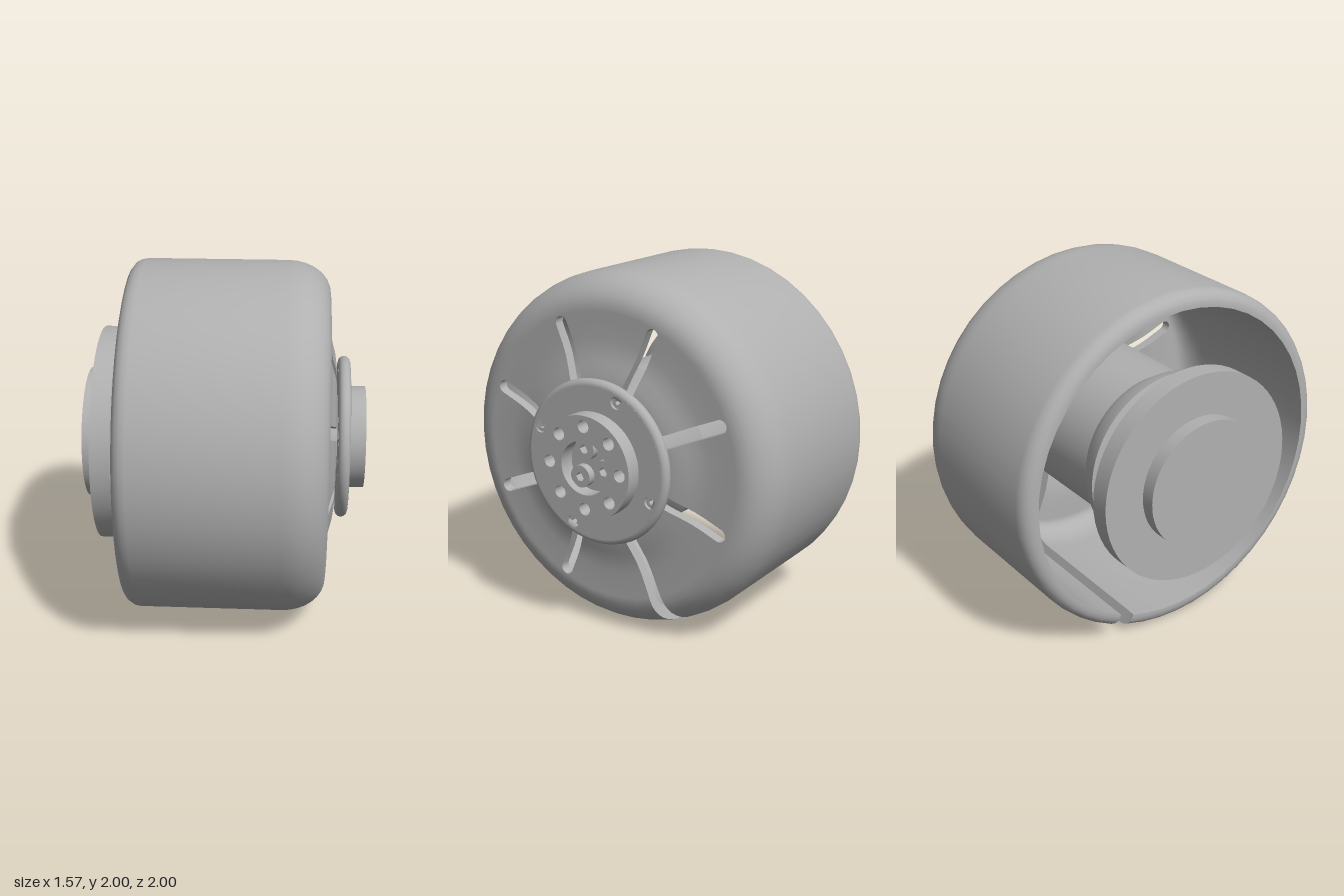
import * as THREE from 'three';
import { toCreasedNormals } from 'three/addons/utils/BufferGeometryUtils.js';

const metal = new THREE.MeshStandardMaterial({ color: 0xb0b0b0 });
metal.name = 'grey';

const CY = 1; // axle height
const SLOT = 0.0375, SLOT_R = 0.77; // slot half width and centre of its rounded end

function add(parent, name, geo) {
  const mesh = new THREE.Mesh(geo, metal);
  mesh.name = name;
  parent.add(mesh);
  return mesh;
}

// Profile of [radius, x] pairs turned around the axle
function turned(profile, segments = 64) {
  const geo = new THREE.LatheGeometry(profile.map(([r, x]) => new THREE.Vector2(r, x)), segments);
  geo.rotateZ(-Math.PI / 2);
  return toCreasedNormals(geo, 0.5);
}

// Disc facing +x with round holes [clock angle in degrees, distance, radius]
function drilledDisc(radius, x0, x1, holes) {
  const shape = new THREE.Shape().absarc(0, 0, radius, 0, Math.PI * 2);
  for (const [deg, d, r] of holes) {
    const a = THREE.MathUtils.degToRad(deg);
    shape.holes.push(new THREE.Path().absarc(d * Math.sin(a), d * Math.cos(a), r, 0, Math.PI * 2, true));
  }
  const geo = new THREE.ExtrudeGeometry(shape, { depth: x1 - x0, bevelEnabled: false, curveSegments: 32 });
  geo.rotateY(Math.PI / 2).translate(x0, 0, 0);
  return toCreasedNormals(geo, 0.5);
}

// Socket screw: a round head with a hexagonal recess
function screw(parent, name, y, z, x0, x1, radius) {
  const shape = new THREE.Shape().absarc(0, 0, radius, 0, Math.PI * 2);
  const hex = new THREE.Path();
  for (let i = 0; i <= 6; i++) {
    const a = -i * Math.PI / 3, r = radius * 0.45;
    hex[i ? 'lineTo' : 'moveTo'](r * Math.cos(a), r * Math.sin(a));
  }
  shape.holes.push(hex);
  const geo = new THREE.ExtrudeGeometry(shape, { depth: x1 - x0, bevelEnabled: false, curveSegments: 12 });
  geo.rotateY(Math.PI / 2);
  add(parent, name, toCreasedNormals(geo, 0.6)).position.set(x0, y, z);
}

// Cup-shaped rim: eight sectors parted by slots, one slot running out through the wall
function rimGeometry() {
  const outer = [], inner = [];
  const pair = (x, r, xi, ri) => { outer.push([x, r]); inner.push([xi, ri]); };
  const face = [[0.615, 0.24], [0.613, 0.42], [0.604, 0.48], [0.588, 0.54], [0.575, 0.6], [0.57, 0.66], [0.57, SLOT_R]];
  for (const [x, r] of face) pair(x, r, x - 0.06, r);
  for (let i = 1; i <= 5; i++) { // rounded slot ends
    const r = SLOT_R + SLOT * Math.sin(i * Math.PI / 10);
    pair(0.57, r, 0.51, r);
  }
  for (let i = 0; i <= 8; i++) { // shoulder
    const c = Math.cos(i * Math.PI / 16), s = Math.sin(i * Math.PI / 16);
    pair(0.33 + 0.24 * c, 0.82 + 0.18 * s, 0.33 + 0.18 * c, 0.82 + 0.09 * s);
  }
  for (let i = 0; i <= 4; i++) { // rounded open edge
    const c = Math.cos(i * Math.PI / 8), s = Math.sin(i * Math.PI / 8);
    pair(-0.465 - 0.08 * s, 0.93 + 0.07 * c, -0.465 - 0.08 * s, 0.91);
  }

  const halfWidth = (r, open) => {
    if (r <= SLOT_R) return SLOT;
    if (open) return SLOT + 0.012 * (r - SLOT_R) / 0.23;
    const d = r - SLOT_R;
    return d < SLOT - 1e-6 ? Math.sqrt(SLOT * SLOT - d * d) : 0;
  };
  const STEPS = 6, verts = [];
  const quad = (a, b, c, d) => verts.push(...a, ...b, ...c, ...a, ...c, ...d);

  for (let k = 0; k < 8; k++) {
    const openStart = k === 4, openEnd = k === 3, n = outer.length;
    const w = (i, open) => halfWidth(i < 12 ? outer[i][1] : Math.max(outer[i][1], 0.81), open);
    const point = (list, i, u) => {
      const [x, r] = list[i];
      const a0 = (k - 0.5) * Math.PI / 4 + Math.asin(w(i, openStart) / r);
      const a1 = (k + 0.5) * Math.PI / 4 - Math.asin(w(i, openEnd) / r);
      const a = a0 + (a1 - a0) * u / STEPS;
      return [x, r * Math.cos(a), -r * Math.sin(a)];
    };
    const O = (i, u) => point(outer, i, u), I = (i, u) => point(inner, i, u);
    for (let i = 0; i < n - 1; i++) {
      for (let u = 0; u < STEPS; u++) {
        quad(O(i, u), O(i, u + 1), O(i + 1, u + 1), O(i + 1, u));
        quad(I(i, u), I(i + 1, u), I(i + 1, u + 1), I(i, u + 1));
      }
      // slot walls
      if (w(i, openEnd) > 0) quad(O(i, STEPS), I(i, STEPS), I(i + 1, STEPS), O(i + 1, STEPS));
      if (w(i, openStart) > 0) quad(O(i, 0), O(i + 1, 0), I(i + 1, 0), I(i, 0));
    }
    for (let u = 0; u < STEPS; u++) {
      quad(O(n - 1, u), O(n - 1, u + 1), I(n - 1, u + 1), I(n - 1, u));
      quad(O(0, u + 1), O(0, u), I(0, u), I(0, u + 1));
    }
  }
  const geo = new THREE.BufferGeometry();
  geo.setAttribute('position', new THREE.Float32BufferAttribute(verts, 3));
  return toCreasedNormals(geo, 0.6);
}

export function createModel() {
  const model = new THREE.Group();
  model.name = 'hubWheel';
  const wheel = new THREE.Group();
  wheel.name = 'wheel';
  wheel.position.y = CY;
  model.add(wheel);

  add(wheel, 'rim', rimGeometry());

  // Motor: stepped back plate, groove, collar and body
  add(wheel, 'motor', turned([
    [0, -0.79], [0.37, -0.79], [0.37, -0.71], [0.61, -0.71], [0.61, -0.6], [0.5, -0.54],
    [0.46, -0.53], [0.46, -0.48], [0.52, -0.46], [0.5, -0.38], [0.45, -0.3],
    [0.45, 0.3], [0.28, 0.48], [0.24, 0.63], [0, 0.63],
  ]));

  // Mounting flange with a rounded edge and four screws
  const flangeHoles = [0, 1, 2, 3].map(i => [22.5 + i * 90, 0.39, 0.035]);
  add(wheel, 'flange', drilledDisc(0.43, 0.622, 0.69, flangeHoles));
  const edge = new THREE.TorusGeometry(0.428, 0.034, 12, 64);
  edge.rotateY(Math.PI / 2).translate(0.656, 0, 0);
  add(wheel, 'flangeEdge', edge);
  for (const [deg, d] of flangeHoles) {
    const a = THREE.MathUtils.degToRad(deg);
    screw(wheel, 'flangeScrew', d * Math.cos(a), -d * Math.sin(a), 0.625, 0.675, 0.034);
  }

  // Boss with a ring of eight holes and a recessed centre
  const bossHoles = [[0, 0, 0.15]];
  for (let i = 0; i < 8; i++) bossHoles.push([i * 45, 0.23, 0.035]);
  add(wheel, 'boss', drilledDisc(0.29, 0.69, 0.78, bossHoles));
  for (const [y, z] of [[0.09, 0.03], [-0.015, -0.095], [-0.07, 0.06]]) {
    screw(wheel, 'centreScrew', y, z, 0.69, 0.735, 0.062);
  }
  return model;
}
